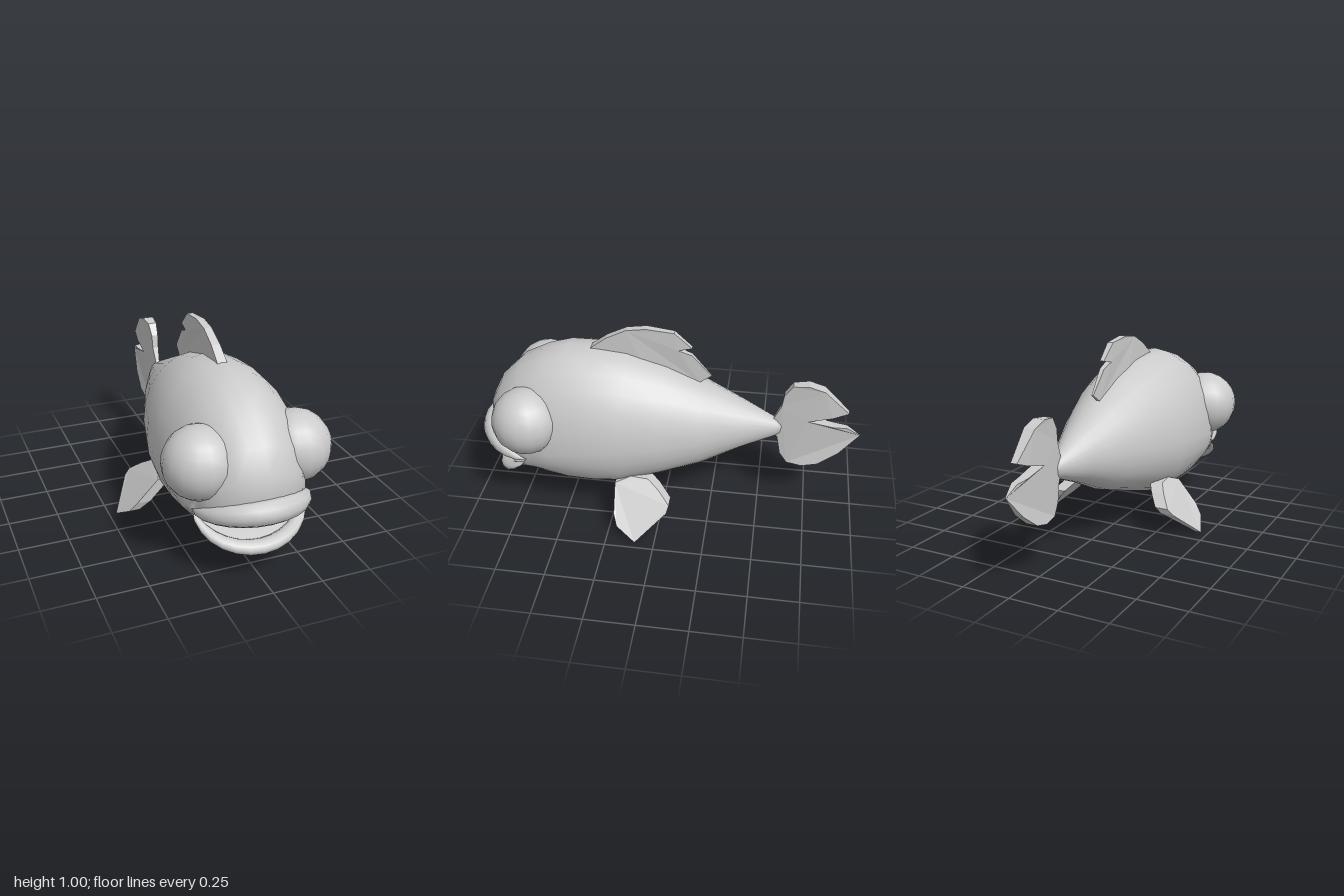
import * as THREE from 'three';

const material = new THREE.MeshStandardMaterial({ color: 0xcccccc, side: THREE.DoubleSide });

function addMesh(group, name, geometry) {
  const mesh = new THREE.Mesh(geometry, material);
  mesh.name = name;
  group.add(mesh);
  return mesh;
}

// Skin a list of closed rings that all have the same number of points
function loft(rings) {
  const n = rings[0].length, positions = [], index = [];
  rings.forEach(ring => ring.forEach(p => positions.push(...p)));
  for (let i = 0; i < rings.length - 1; i++) {
    for (let j = 0; j < n; j++) {
      const a = i * n + j, b = i * n + (j + 1) % n;
      index.push(a, b, b + n, a, b + n, a + n);
    }
  }
  const g = new THREE.BufferGeometry();
  g.setAttribute('position', new THREE.Float32BufferAttribute(positions, 3));
  g.setIndex(index);
  g.computeVertexNormals();
  return g;
}

// A ring through a top point, two side points and a bottom point; it may lean in z
function bodyRing([topZ, topY, sideZ, sideY, w, lowZ, lowY, fullness = 1], n = 24) {
  return Array.from({ length: n }, (_, j) => {
    const a = j / n * Math.PI * 2, c = Math.cos(a), s = Math.sin(a), k = Math.abs(s);
    const x = s < 0 ? Math.sign(c) * Math.abs(c) ** fullness : c;
    const [z, y] = s < 0 ? [lowZ, lowY] : [topZ, topY];
    return [w * x, sideY + (y - sideY) * k, sideZ + (z - sideZ) * k];
  });
}

// Curved lip, thick in the middle and pointed at the mouth corners
function lip(reach, rise, thickZ, thickY) {
  const rings = [];
  for (let i = 0; i <= 14; i++) {
    const a = i / 14 * Math.PI, c = Math.cos(a), s = Math.sin(a);
    const t = Math.max(s, 0.002) ** 0.7;
    rings.push(Array.from({ length: 10 }, (_, j) => {
      const b = j / 10 * Math.PI * 2, r = Math.cos(b) * thickZ * t;
      return [c * (0.27 + r), 0.33 + rise * s + Math.sin(b) * thickY * t, 0.69 + reach * s + r * s];
    }));
  }
  return loft(rings);
}

// Fin cut from a (z, y) outline; place(x, y, z) gives each vertex its new x
function fin(outline, thickness, place) {
  const shape = new THREE.Shape(outline.map(p => new THREE.Vector2(...p)));
  const g = new THREE.ExtrudeGeometry(shape, { depth: thickness, bevelEnabled: false });
  g.translate(0, 0, -thickness / 2);
  g.rotateY(-Math.PI / 2);
  const p = g.attributes.position;
  for (let i = 0; i < p.count; i++) p.setX(i, place(p.getX(i), p.getY(i), p.getZ(i)));
  g.computeVertexNormals();
  return g;
}

export function createModel() {
  const fish = new THREE.Group();
  fish.name = 'fish';

  // Body from tail root to mouth rim, then back inside as the mouth cavity
  const body = [
    [-0.6, 0.485, -0.6, 0.485, 0.001, -0.6, 0.48],
    [-0.6, 0.51, -0.595, 0.485, 0.022, -0.59, 0.45],
    [-0.57, 0.535, -0.57, 0.49, 0.04, -0.57, 0.435],
    [-0.4, 0.62, -0.4, 0.49, 0.115, -0.4, 0.365, 0.9],
    [-0.2, 0.715, -0.2, 0.48, 0.2, -0.2, 0.27, 0.8],
    [0, 0.81, 0, 0.47, 0.27, 0, 0.205, 0.8],
    [0.2, 0.875, 0.2, 0.46, 0.32, 0.2, 0.145, 0.8],
    [0.35, 0.89, 0.35, 0.45, 0.335, 0.33, 0.14, 0.8],
    [0.5, 0.89, 0.48, 0.43, 0.33, 0.48, 0.15, 0.8],
    [0.62, 0.855, 0.58, 0.41, 0.32, 0.6, 0.175, 0.85],
    [0.75, 0.79, 0.63, 0.39, 0.305, 0.68, 0.19, 0.9],
    [0.86, 0.68, 0.66, 0.37, 0.29, 0.76, 0.19],
    [0.92, 0.56, 0.68, 0.355, 0.28, 0.82, 0.185],
    [0.93, 0.44, 0.69, 0.335, 0.275, 0.87, 0.18],
    [0.9, 0.36, 0.685, 0.33, 0.26, 0.86, 0.195],
    [0.7, 0.36, 0.62, 0.33, 0.2, 0.7, 0.24],
    [0.55, 0.34, 0.55, 0.32, 0.08, 0.55, 0.29],
    [0.53, 0.32, 0.53, 0.32, 0.001, 0.53, 0.315],
  ];
  addMesh(fish, 'body', loft(body.map(r => bodyRing(r))));

  // Lips
  addMesh(fish, 'upperLip', lip(0.245, 0.067, 0.055, 0.062));
  addMesh(fish, 'lowerLip', lip(0.18, -0.15, 0.042, 0.036));

  // Dorsal fin, thinning upward and toward the back
  addMesh(fish, 'dorsalFin', fin([
    [0.39, 0.87], [0.38, 0.89], [0.3, 0.95], [0.2, 1.0], [0.1, 1.015], [-0.04, 1.0], [-0.13, 0.92],
    [-0.06, 0.905], [-0.13, 0.88], [-0.23, 0.765], [-0.17, 0.725], [-0.15, 0.68], [0.1, 0.78],
  ], 0.05, (x, y, z) => x * Math.min(1, 0.2 + (z + 0.23) * 3) * (1 - Math.max(0, y - 0.88) * 1.6)));

  // Forked tail fin, lens-shaped in plan
  addMesh(fish, 'tailFin', fin([
    [-0.53, 0.49], [-0.56, 0.55], [-0.59, 0.62], [-0.6, 0.69], [-0.64, 0.75], [-0.72, 0.76], [-0.8, 0.735],
    [-0.93, 0.61], [-0.85, 0.58], [-0.73, 0.55], [-0.86, 0.525], [-0.93, 0.52], [-1, 0.475],
    [-0.9, 0.36], [-0.8, 0.285], [-0.72, 0.265], [-0.64, 0.275], [-0.6, 0.33], [-0.58, 0.43],
  ], 0.06, (x, y, z) => x * Math.max(0.05, 1 - ((z + 0.76) / 0.25) ** 2)));

  // Eyes and side fins, mirrored
  for (const [side, s] of [['left', 1], ['right', -1]]) {
    const eye = addMesh(fish, side + 'Eye', new THREE.SphereGeometry(0.174, 16, 12));
    eye.position.set(s * 0.235, 0.563, 0.685);

    addMesh(fish, side + 'PectoralFin', fin([
      [0.23, 0.24], [0.15, 0.27], [0.06, 0.265], [0, 0.225], [-0.06, 0.17], [-0.05, 0.14],
      [0.1, 0.01], [0.2, 0.07], [0.22, 0.12],
    ], 0.07, (x, y) => x * Math.min(1, 0.4 + y * 5) + s * (0.255 + (0.225 - y) * 0.9)));
  }
  return fish;
}
